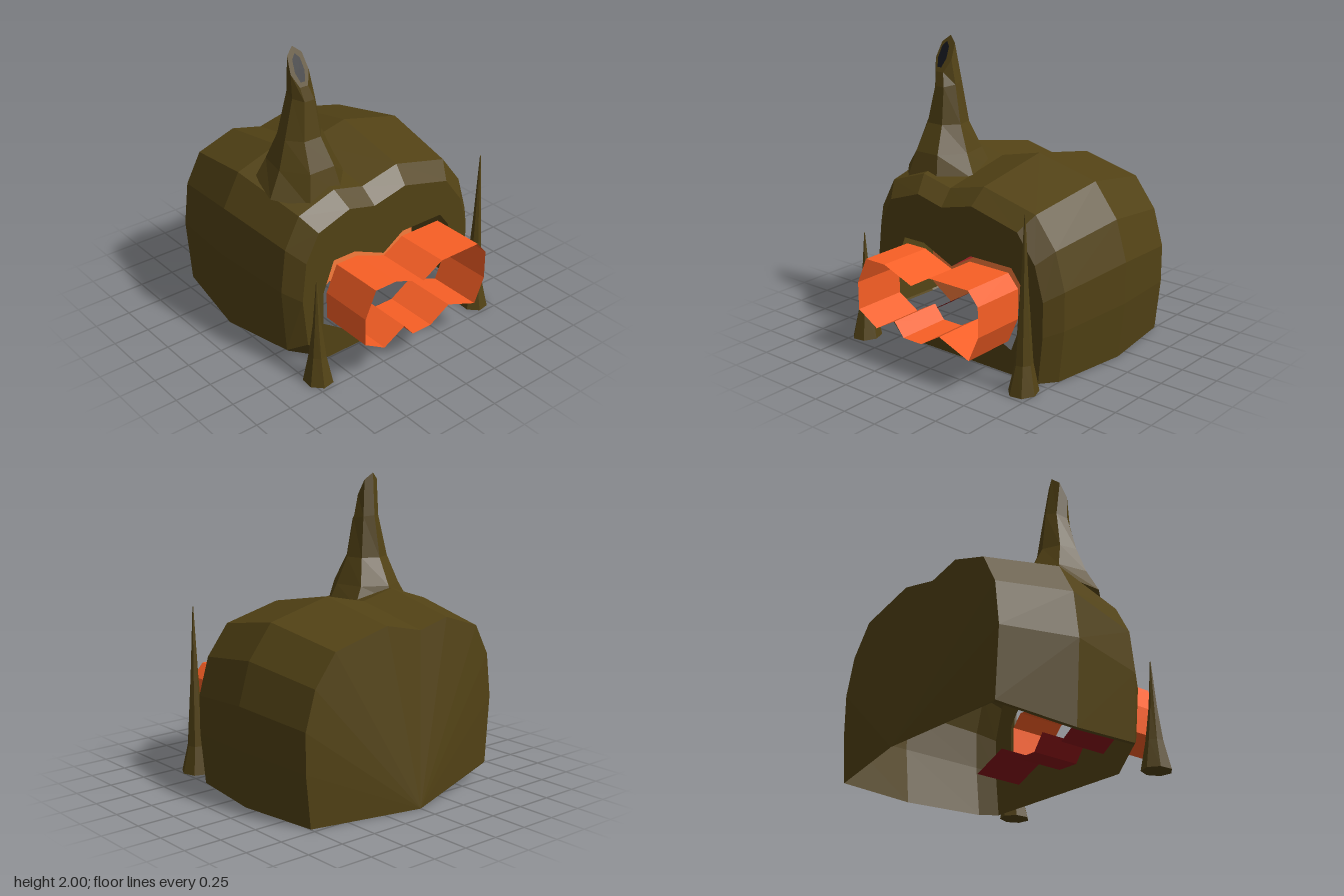
import * as THREE from 'three';

const mat = (color, side = THREE.DoubleSide) =>
  new THREE.MeshStandardMaterial({ color, flatShading: true, side });
const olive = mat(0x524215), orange = mat(0xf85f25), paleOrange = mat(0xfa7d3c, THREE.FrontSide);
const darkRed = mat(0x8a1418, THREE.FrontSide), black = mat(0x15161c);

// Joins equal rings of [x, y, z]; the ends close as fans to optional centre points
function loft(rings, { start, end, open = false } = {}) {
  const pos = [], n = rings[0].length;
  const tri = (...p) => p.forEach(v => pos.push(...v));
  for (let j = 0; j < (open ? n - 1 : n); j++) {
    const k = (j + 1) % n;
    for (let i = 0; i < rings.length - 1; i++) {
      const a = rings[i][j], b = rings[i][k], c = rings[i + 1][k], d = rings[i + 1][j];
      tri(a, d, c);
      tri(a, c, b);
    }
    const last = rings[rings.length - 1];
    if (start) tri(start, rings[0][j], rings[0][k]);
    if (end) tri(end, last[k], last[j]);
  }
  const g = new THREE.BufferGeometry();
  g.setAttribute('position', new THREE.Float32BufferAttribute(pos, 3));
  g.computeVertexNormals();
  return g;
}

// Horizontal ring; slope tilts it along x
function ring(cx, y, cz, rx, rz, slope = 0, turn = Math.PI) {
  return Array.from({ length: 7 }, (_, i) => {
    const t = turn + i / 7 * Math.PI * 2;
    return [cx + Math.cos(t) * rx, y + slope * Math.cos(t), cz + Math.sin(t) * rz];
  });
}

function add(group, name, geometry, material) {
  const m = new THREE.Mesh(geometry, material);
  m.name = name;
  group.add(m);
}

// Body outline as [z, y], from the front over the top to the back foot
const outline = [
  [0.86, 0.61], [0.82, 0.93], [0.7, 1.15], [0.4, 1.25], [0.15, 1.19],
  [-0.16, 1.26], [-0.61, 1.15], [-0.78, 0.93], [-0.86, 0.66], [-0.86, 0.38], [-0.82, 0],
];
// Each section starts with its own bevelled front foot
const section = (x, sz, sy, ...foot) =>
  [...foot, ...outline.map(([z, y]) => [z * sz, y * sy])].map(([z, y]) => [x, y, z]);

// Mouth outline as [z, y]
const mouth = [
  [0.45, 0.715], [0.28, 0.715], [0.04, 0.61], [-0.12, 0.715], [-0.45, 0.715], [-0.53, 0.61],
  [-0.53, 0.37], [-0.45, 0.165], [-0.2, 0.275], [-0.04, 0.165], [0.12, 0.165], [0.2, 0.275],
  [0.37, 0.165], [0.535, 0.275], [0.535, 0.5],
];
const mouthRing = (x, sz = 1, sy = 1, lift = 0) =>
  mouth.map(([z, y]) => [x, 0.44 + lift + (y - 0.44) * sy, z * sz]);

// Flat face in the plane of a ring that stands across x, with an optional hole
function plate(points, hole) {
  const flat = pts => pts.map(([, y, z]) => new THREE.Vector2(-z, y));
  const shape = new THREE.Shape(flat(points));
  if (hole) shape.holes.push(new THREE.Path(flat(hole)));
  return new THREE.ShapeGeometry(shape).rotateY(Math.PI / 2).translate(points[0][0], 0, 0);
}

export function createModel() {
  const model = new THREE.Group();
  model.name = 'oven';

  // Rounded shell, open below, tapering to a point at the low left end
  const mouthEnd = section(0.49, 0.81, 0.83, [0.5, 0], [0.66, 0.17]);
  add(model, 'body', loft([
    section(-0.71, 0.91, 0.915, [0.74, 0.1], [0.75, 0.11]),
    section(-0.16, 1, 1, [0.81, 0.05], [0.82, 0.06]),
    section(0.385, 0.91, 0.915, [0.74, 0.1], [0.75, 0.11]),
    mouthEnd,
  ], { start: [-0.875, 0, 0], open: true }), olive);
  add(model, 'mouthWall', plate(mouthEnd, mouthRing(0.49)), olive);

  // Chimney flaring into the body, with a slanted opening
  const lipCentre = [0.11, 1.88, 0.415];
  add(model, 'chimney', loft([
    ring(0.115, 1.11, 0.405, 0.28, 0.3, -0.05),
    ring(0.105, 1.26, 0.4, 0.235, 0.215),
    ring(0.105, 1.44, 0.405, 0.138, 0.145),
    ring(0.105, 1.7, 0.395, 0.095, 0.085, -0.02),
    ring(...lipCentre, 0.06, 0.07, -0.12),
  ], { end: lipCentre }), olive);
  add(model, 'chimneyHole',
    loft([ring(0.122, 1.879, 0.42, 0.042, 0.037, -0.085)], { end: [0.122, 1.879, 0.42] }), black);

  // Mouth: open projecting sleeve, and a recess with a glowing back
  add(model, 'mouthSleeve',
    loft([mouthRing(0.49, 0.95, 0.83, 0.01), mouthRing(0.87, 0.95, 0.83, 0.01)]), orange);
  add(model, 'mouthRecess', loft([mouthRing(0.13), mouthRing(0.49)]), darkRed);
  add(model, 'mouthBack', plate(mouthRing(0.13)), paleOrange);

  // Two pointed stakes beside the mouth
  for (const [name, z, h] of [['frontStake', 0.69, 0.73], ['backStake', -0.66, 1.14]]) {
    add(model, name, loft([
      ring(0.63, 0, z, 0.105, 0.095, 0, 0.3),
      ring(0.625, 0.19, z, 0.062, 0.055, 0, 0.3),
      ring(0.625, h * 0.58, z, 0.027, 0.027, 0, 0.3),
      ring(0.623, h, z, 0.003, 0.003, 0, 0.3),
    ], { start: [0.63, 0, z], end: [0.623, h, z] }), olive);
  }
  return model;
}
